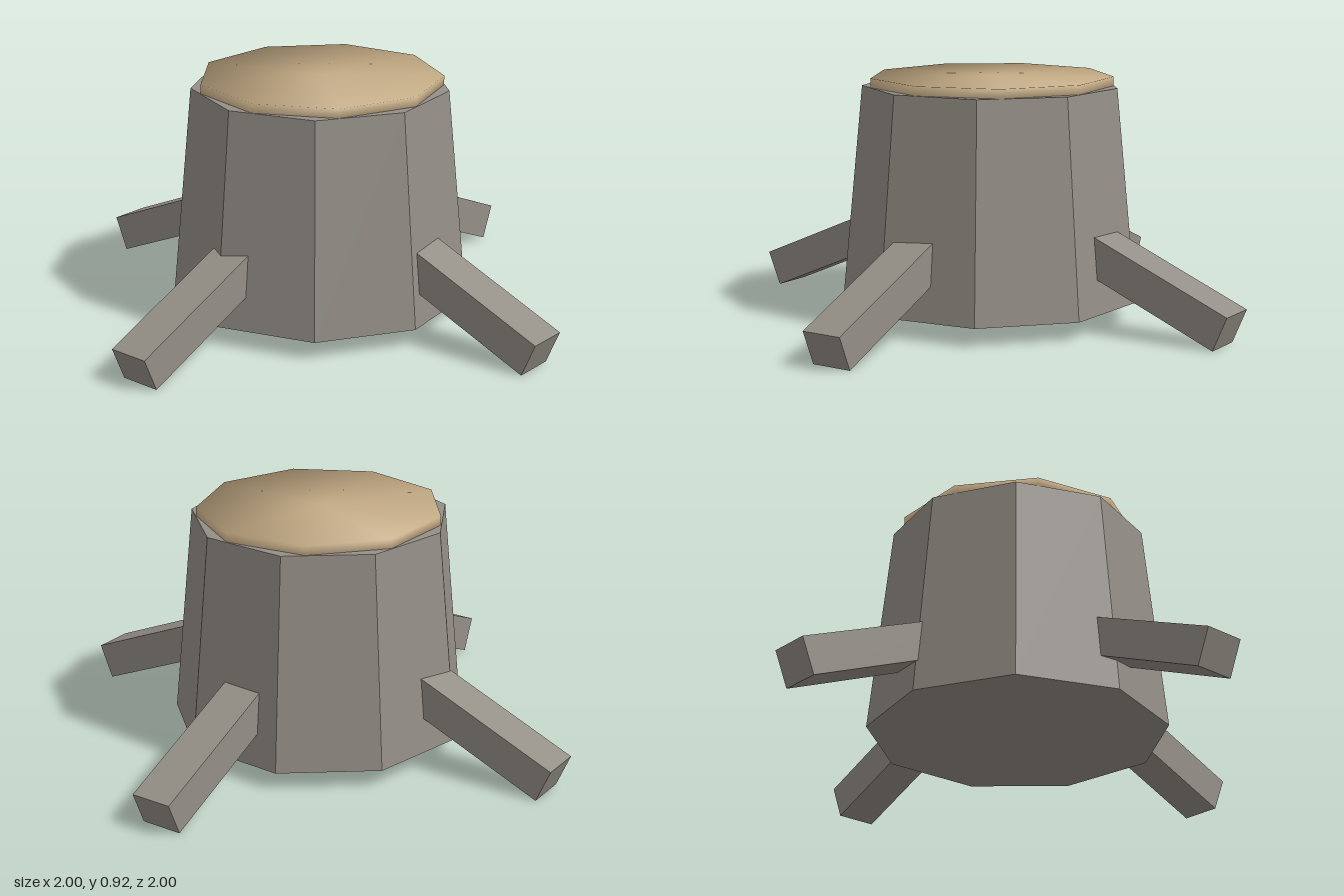
import * as THREE from 'three';

const bark = new THREE.MeshStandardMaterial({ name: 'greyBark', color: 0x948f87, flatShading: true });
const wood = new THREE.MeshStandardMaterial({ name: 'cutWood', color: 0xc4ab85 });

function part(name, geometry, material) {
  const mesh = new THREE.Mesh(geometry, material);
  mesh.name = name;
  return mesh;
}

// Nine-sided disc whose rim normals lean outward, so its shading is soft
function softDisc(radius, height) {
  const geo = new THREE.CylinderGeometry(radius, radius, height, 9, 1, false, Math.PI);
  const pos = geo.attributes.position;
  const n = new THREE.Vector3();
  for (let i = 0; i < pos.count; i++) {
    const x = pos.getX(i), z = pos.getZ(i);
    if (Math.hypot(x, z) < radius / 2) continue;
    n.set(x / radius * 0.82, Math.sign(pos.getY(i)) * 0.57, z / radius * 0.82).normalize();
    geo.attributes.normal.setXYZ(i, n.x, n.y, n.z);
  }
  return geo;
}

export function createModel() {
  const model = new THREE.Group();
  model.name = 'treeStump';

  // Tapered trunk
  const trunk = part('trunk', new THREE.CylinderGeometry(0.49, 0.57, 0.815, 9, 1, false, Math.PI / 2), bark);
  trunk.position.y = 0.4775;
  model.add(trunk);

  // Sawn top
  const top = part('cutTop', softDisc(0.465, 0.05), wood);
  top.position.y = 0.895;
  model.add(top);

  // Four roots sloping down to the ground
  const rootGeo = new THREE.BoxGeometry(0.8, 0.14, 0.16);
  for (let i = 0; i < 4; i++) {
    const pivot = new THREE.Group();
    pivot.name = 'root' + (i + 1);
    pivot.rotation.y = Math.PI / 8 + i * Math.PI / 2;
    const root = part('rootBeam', rootGeo, bark);
    root.position.set(0.655, 0.22, 0);
    root.rotation.z = -0.4;
    pivot.add(root);
    model.add(pivot);
  }
  return model;
}
